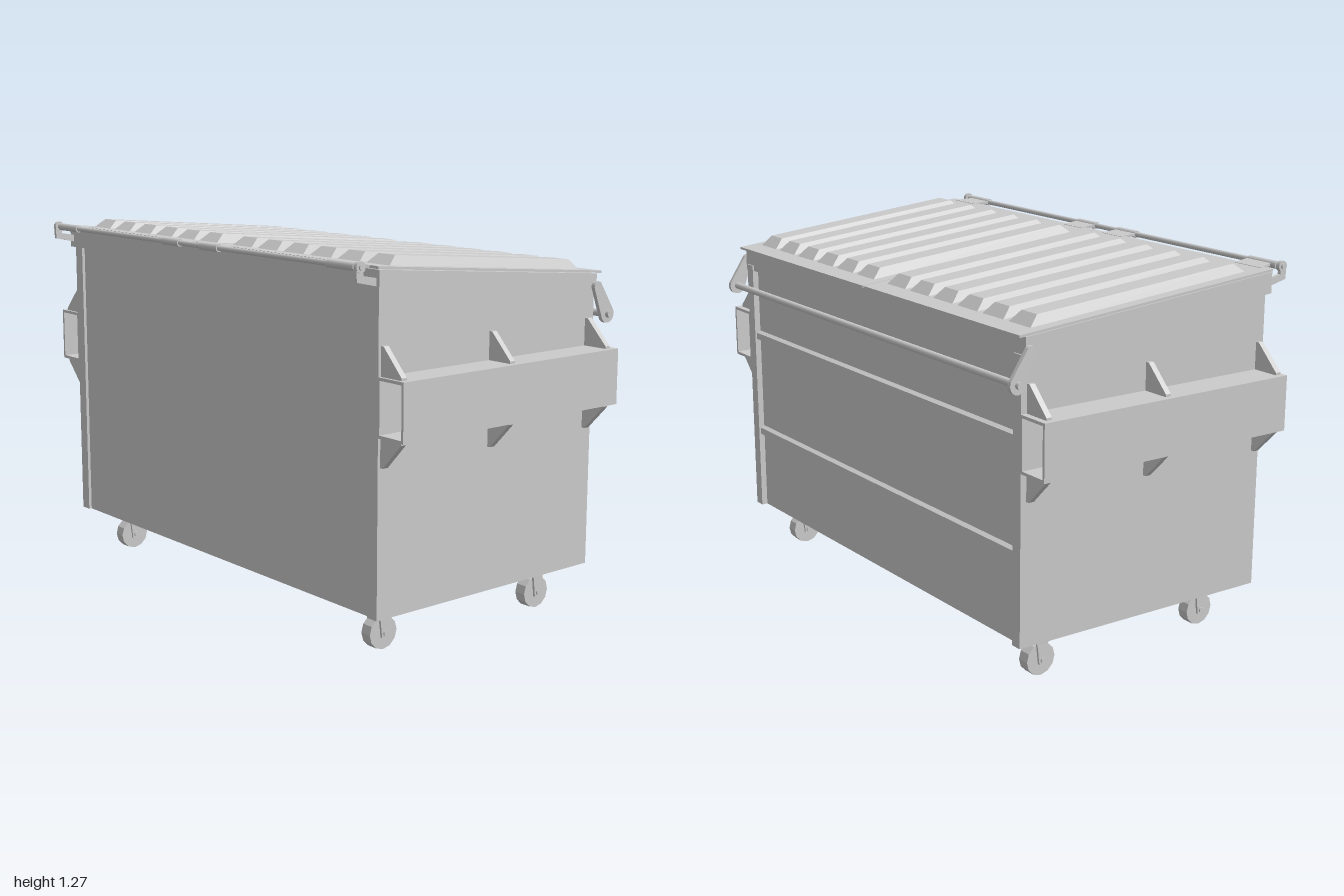
import * as THREE from 'three';

const material = new THREE.MeshStandardMaterial({ color: 0xcccccc });
const flat = new THREE.MeshStandardMaterial({ color: 0xcccccc, flatShading: true });

// The bin narrows towards the back: half width of the side wall at depth z
const wall = (z) => 0.868 + 0.036 * z;
// Sloping top surface of the lid
const lidY = (z) => 1.25 - 0.085 * (0.485 - z);

// Side profile of [z, y] points swept across x from a to b (numbers or functions of z)
function sweep(profile, a, b) {
  const shape = profile instanceof THREE.Shape
    ? profile : new THREE.Shape(profile.map(([z, y]) => new THREE.Vector2(z, y)));
  const geo = new THREE.ExtrudeGeometry(shape, { depth: 1, bevelEnabled: false, curveSegments: 10 });
  geo.translate(0, 0, -0.5).rotateY(-Math.PI / 2);
  const at = (f, z) => (typeof f === 'function' ? f(z) : f);
  const p = geo.attributes.position;
  for (let i = 0; i < p.count; i++) {
    const z = p.getZ(i);
    p.setX(i, THREE.MathUtils.lerp(at(a, z), at(b, z), p.getX(i) + 0.5));
  }
  geo.computeVertexNormals();
  return geo;
}

const rect = (z0, z1, y0, y1) => [[z0, y0], [z1, y0], [z1, y1], [z0, y1]];

// Sweep on the +x side, or its mirror on the -x side
function sideSweep(profile, a, b, s) {
  const neg = (f) => (typeof f === 'function' ? (z) => -f(z) : -f);
  return s > 0 ? sweep(profile, a, b) : sweep(profile, neg(b), neg(a));
}

function rod(radius, length, sides = 14) {
  return new THREE.CylinderGeometry(radius, radius, length, sides).rotateZ(Math.PI / 2);
}

// Outline around two circles in the z-y plane
function linkShape(z0, y0, r0, z1, y1, r1) {
  const t = Math.atan2(y1 - y0, z1 - z0);
  const shape = new THREE.Shape();
  shape.absarc(z0, y0, r0, t + Math.PI / 2, t + Math.PI * 1.5, false);
  shape.absarc(z1, y1, r1, t - Math.PI / 2, t + Math.PI / 2, false);
  return shape;
}

// Raised lid rib: a strip with sloping sides and ends
function ribGeometry(x) {
  const geo = new THREE.BoxGeometry(1, 1, 1);
  const p = geo.attributes.position;
  for (let i = 0; i < p.count; i++) {
    const top = p.getY(i) > 0;
    const z = p.getZ(i) > 0 ? (top ? 0.37 : 0.41) : (top ? -0.41 : -0.45);
    const taper = wall(z) / wall(0.41);
    const half = top ? 0.038 : 0.056;
    p.setXYZ(i, x * taper + Math.sign(p.getX(i)) * half, lidY(z) + (top ? 0.031 : -0.004), z);
  }
  const out = geo.toNonIndexed();
  out.computeVertexNormals();
  return out;
}

export function createModel() {
  const model = new THREE.Group();
  const add = (name, geo, parent = model, mat = material) => {
    const mesh = new THREE.Mesh(geo, mat);
    mesh.name = name;
    parent.add(mesh);
    return mesh;
  };
  const group = (name) => {
    const g = new THREE.Group();
    g.name = name;
    model.add(g);
    return g;
  };

  // Bin body and sloping rim
  add('body', sweep([[-0.475, 0.155], [0.462, 0.155], [0.462, 1.19], [-0.475, 1.11]],
    (z) => -wall(z), wall));
  add('rim', sweep([[-0.492, 1.08], [0.485, 1.17], [0.485, 1.24], [-0.492, 1.157]],
    (z) => -wall(z) - 0.015, (z) => wall(z) + 0.015));

  // Corner posts
  for (const s of [-1, 1]) {
    add('frontPost', sideSweep(rect(0.44, 0.473, 0.155, 1.18), 0.84, wall, s));
    add('backPost', sideSweep(rect(-0.497, -0.45, 0.155, 1.1), 0.81, wall, s));
  }

  // Stiffening bars across the back
  for (const y of [0.455, 0.83]) {
    add('backBar', sweep([[-0.49, y - 0.012], [-0.47, y - 0.022], [-0.47, y + 0.022], [-0.49, y + 0.012]], -0.815, 0.815));
  }

  // Fork sleeves: open tubes along both sides, braced by gussets
  for (const s of [-1, 1]) {
    const sleeve = group(s > 0 ? 'leftForkSleeve' : 'rightForkSleeve');
    const outer = (z) => wall(z) + 0.115;
    const layers = [
      ['sleeveTop', 0.907, 0.917, wall, outer],
      ['sleeveBottom', 0.73, 0.74, wall, outer],
      ['sleeveOuterWall', 0.73, 0.917, (z) => outer(z) - 0.009, outer],
      ['sleeveInnerWall', 0.73, 0.917, wall, (z) => wall(z) + 0.006],
    ];
    for (const [name, y0, y1, a, b] of layers) {
      add(name, sideSweep(rect(-0.497, 0.473, y0, y1), a, b, s), sleeve);
    }
    for (const z of [0.453, -0.01, -0.466]) {
      for (const up of [1, -1]) {
        const shape = new THREE.Shape([[-0.01, 0], [0.095, 0], [0.095, 0.008], [0.012, 0.093], [-0.01, 0.093]]
          .map(([x, y]) => new THREE.Vector2(s * (wall(z) + x), (up > 0 ? 0.917 : 0.73) + up * y)));
        const geo = new THREE.ExtrudeGeometry(shape, { depth: 0.02, bevelEnabled: false });
        add('gusset', geo.translate(0, 0, z - 0.01), sleeve);
      }
    }
  }

  // Two lids with raised ribs and hinge tabs
  for (const s of [-1, 1]) {
    const lid = group(s > 0 ? 'leftLid' : 'rightLid');
    const zb = -0.515, zf = 0.488;
    add('lidPanel', sideSweep([[zb, lidY(zb) - 0.008], [zf, lidY(zf) - 0.008], [zf, lidY(zf)], [zb, lidY(zb)]],
      0.002, (z) => wall(z) + 0.015, s), lid);
    for (let i = 0; i < 6; i++) add('lidRib', ribGeometry(s * (0.1 + 0.14 * i)), lid);
    for (const [x0, x1] of [[0.062, 0.166], [0.735, 0.865]]) {
      const flare = x1 > 0.5 ? 0.35 : 0;
      add('hingeTab', sideSweep([[0.47, 1.24], [0.545, 1.246], [0.545, 1.256], [0.47, 1.25]],
        (z) => x0 + flare * (0.545 - z) * 0.3, (z) => x1 - flare * (z - 0.47), s), lid);
      add('hingeBarrel', rod(0.013, x1 - x0).translate(s * (x0 + x1) / 2, 1.25, 0.545), lid);
    }
  }

  // Front hinge rod and its bent end brackets
  const hinge = group('frontHinge');
  add('hingeRod', rod(0.009, 1.79).translate(0, 1.25, 0.545), hinge);
  for (const s of [-1, 1]) {
    add('hingeBracket', sideSweep([[0.47, 1.188], [0.485, 1.19], [0.56, 1.206], [0.562, 1.25], [0.538, 1.25],
      [0.535, 1.224], [0.485, 1.215], [0.47, 1.213]], 0.876, 0.888, s), hinge);
    add('hingeBracketEye', rod(0.018, 0.014).translate(s * 0.882, 1.25, 0.545), hinge);
  }

  // Rear bar hung on two arms
  const rear = group('rearBar');
  add('rearRod', rod(0.012, 1.79).translate(0, 1.02, -0.532), rear);
  for (const s of [-1, 1]) {
    add('rearArm', sideSweep(linkShape(-0.483, 1.115, 0.018, -0.532, 1.02, 0.03), 0.868, 0.882, s), rear);
  }

  // Casters
  for (const x of [-0.755, 0.735]) {
    for (const z of [0.335, -0.355]) {
      const caster = group('caster');
      caster.position.set(x, 0, z);
      add('casterPlate', new THREE.CylinderGeometry(0.053, 0.05, 0.032, 16).translate(0, 0.14, 0), caster);
      add('casterNeck', new THREE.BoxGeometry(0.062, 0.014, 0.046).translate(0, 0.12, 0), caster);
      add('wheel', rod(0.056, 0.042, 12).translate(0, 0.056, 0), caster, flat);
      add('axle', rod(0.009, 0.074, 8).translate(0, 0.056, 0), caster);
      for (const s of [-1, 1]) {
        add('forkLeg', sideSweep([[-0.013, 0.042], [0.013, 0.042], [0.023, 0.126], [-0.023, 0.126]], 0.023, 0.031, s), caster);
      }
    }
  }
  return model;
}
